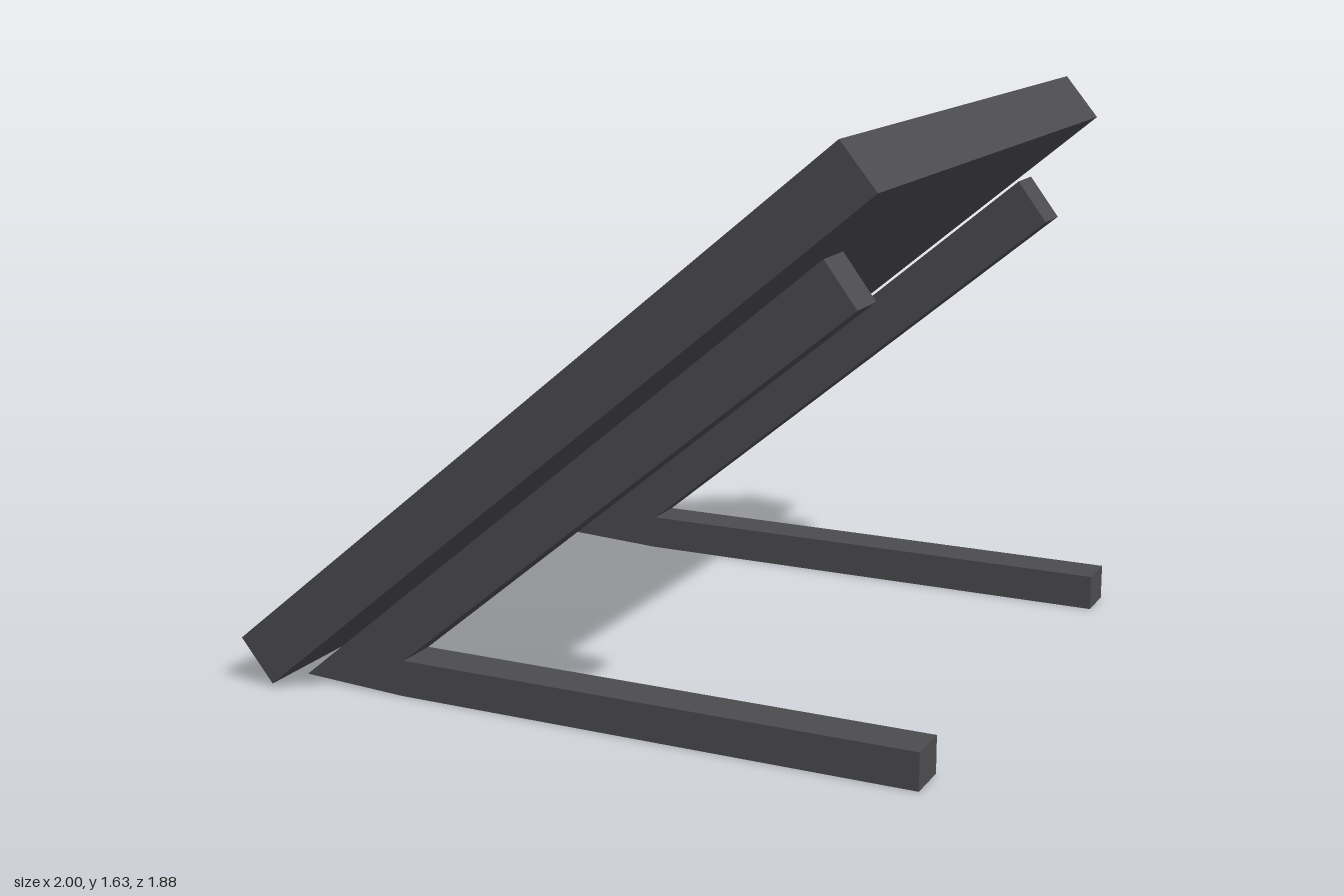
import * as THREE from 'three';

// Extrudes an x-y profile to a given depth, centred on z
function slab(name, points, depth, z, material) {
  const shape = new THREE.Shape(points.map(([x, y]) => new THREE.Vector2(x, y)));
  const geometry = new THREE.ExtrudeGeometry(shape, { depth, bevelEnabled: false });
  geometry.translate(0, 0, -depth / 2);
  const mesh = new THREE.Mesh(geometry, material);
  mesh.name = name;
  mesh.position.z = z;
  return mesh;
}

export function createModel() {
  const group = new THREE.Group();
  group.name = 'tiltedPanelStand';
  const darkGrey = new THREE.MeshStandardMaterial({ color: 0x4c4c4f });
  darkGrey.name = 'darkGrey';

  // Sloping panel, floating just above the brackets
  const panel = [[-0.9, 0.01], [0.9, 1.513], [0.8, 1.635], [-1, 0.132]];
  group.add(slab('panel', panel, 1.88, 0, darkGrey));

  // V-shaped brackets: a foot on the ground and an arm along the slope
  const bracket = [
    [-0.848, 0.015], [-0.53, 0], [1, 0], [1, 0.105],
    [-0.522, 0.105], [0.815, 1.21], [0.725, 1.33],
  ];
  for (const [side, name] of [[1, 'frontBracket'], [-1, 'backBracket']]) {
    group.add(slab(name, bracket, 0.127, side * 0.779, darkGrey));
  }
  return group;
}
